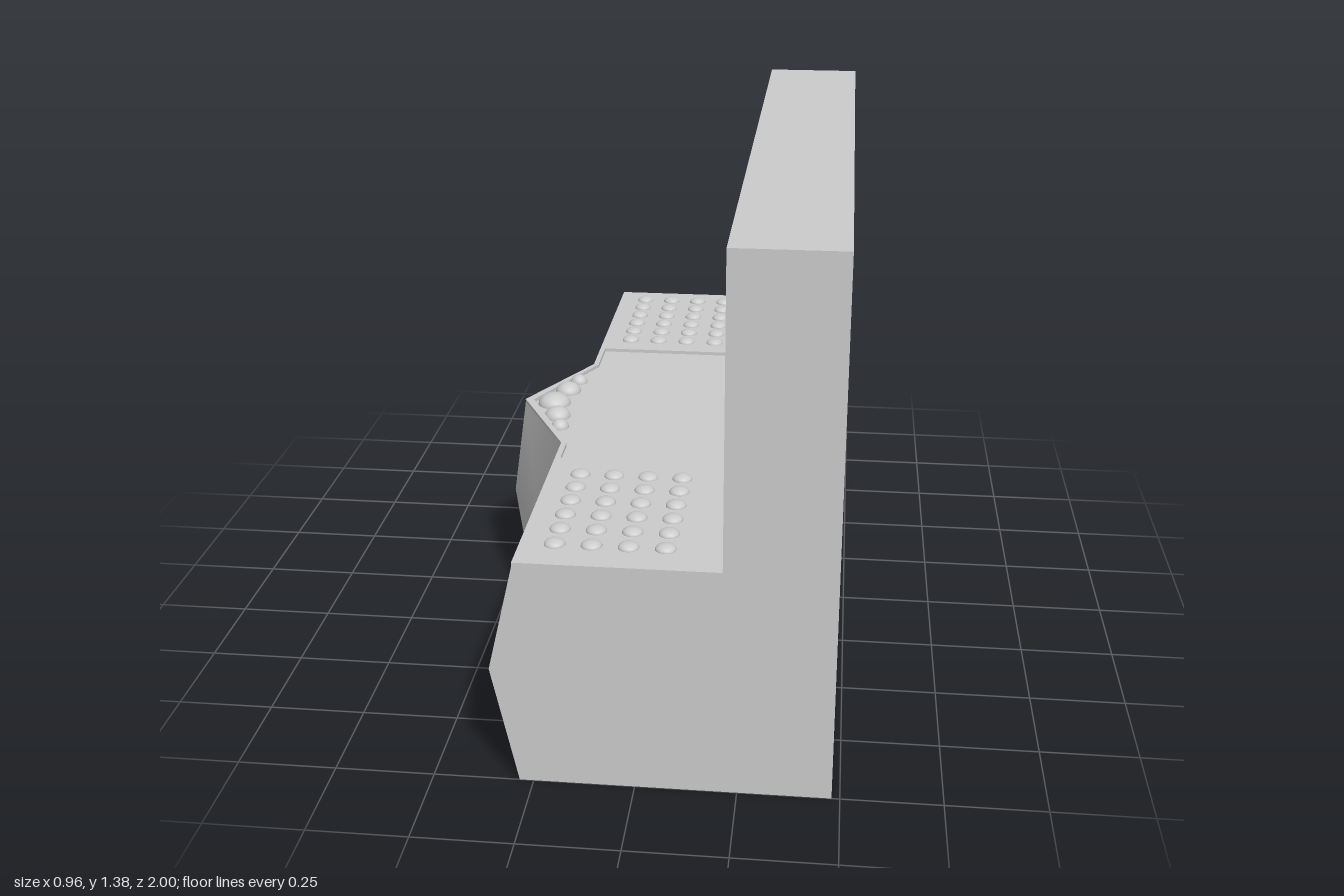
import * as THREE from 'three';
import { toCreasedNormals } from 'three/addons/utils/BufferGeometryUtils.js';

const material = new THREE.MeshStandardMaterial({ color: 0xcccccc });
const DECK = 0.6, LIP = 0.01; // deck height and depth of the sunken centre panel

function outline(points) {
  return new THREE.Shape(points.map(([a, b]) => new THREE.Vector2(a, b)));
}

// Extrudes a plan (x, z) downwards from height top
function extrudePlan(shape, top, depth, steps = 1) {
  return new THREE.ExtrudeGeometry(shape, { depth, steps, bevelEnabled: false })
    .rotateX(Math.PI / 2).translate(0, top, 0);
}

function addMesh(parent, name, geometry) {
  const mesh = new THREE.Mesh(geometry, material);
  mesh.name = name;
  parent.add(mesh);
  return mesh;
}

export function createModel() {
  const model = new THREE.Group();
  model.name = 'controlConsole';

  // Desk plan with the pointed middle of the operator side
  const plan = [[0.48, -1], [0.48, 1], [-0.285, 1], [-0.285, 0.3],
    [-0.44, 0], [-0.285, -0.3], [-0.285, -1]];

  // Desk body: the middle layer bulges outwards along the operator side
  const baseTop = DECK - LIP;
  const body = extrudePlan(outline(plan), baseTop, baseTop, 2);
  const p = body.attributes.position;
  for (let i = 0; i < p.count; i++) {
    const middle = Math.abs(p.getY(i) - baseTop / 2) < 0.01;
    if (!middle) continue;
    p.setY(i, 0.31);
    if (p.getX(i) < 0) p.setX(i, p.getX(i) - (p.getX(i) < -0.4 ? 0.04 : 0.065));
  }
  addMesh(model, 'deskBody', toCreasedNormals(body, 0.52));

  // Deck plate with an opening that forms the sunken centre panel
  const deck = outline(plan);
  deck.holes.push(outline([[0.12, -0.44], [0.12, 0.4], [-0.27, 0.4], [-0.27, 0.3],
    [-0.415, 0], [-0.27, -0.3], [-0.27, -0.44]]));
  addMesh(model, 'deckPlate', extrudePlan(deck, DECK, LIP));

  // Upright screen housing
  const top = 1.38, face = 0.21, recess = 0.025;
  const height = top - DECK;
  const housing = new THREE.BoxGeometry(0.48 - face - recess, height, 2);
  housing.translate((0.48 + face + recess) / 2, DECK + height / 2, 0);
  addMesh(model, 'screenHousing', housing);

  // Thin frame around the recessed screen
  const frame = outline([[-1, DECK], [1, DECK], [1, top], [-1, top]]);
  frame.holes.push(outline([[-0.975, 0.635], [0.975, 0.635], [0.975, 1.345], [-0.975, 1.345]]));
  const frameGeometry = new THREE.ExtrudeGeometry(frame, { depth: recess, bevelEnabled: false });
  frameGeometry.rotateY(-Math.PI / 2).translate(face + recess, 0, 0);
  addMesh(model, 'screenFrame', frameGeometry);

  // Domed buttons
  const dome = new THREE.SphereGeometry(1, 20, 8, 0, Math.PI * 2, 0, Math.PI / 2);
  const addButton = (parent, name, x, y, z, radius, rise) => {
    const button = addMesh(parent, name, dome);
    button.position.set(x, y, z);
    button.scale.set(radius, rise, radius);
  };

  // Two button fields of four by six
  for (const [name, start] of [['rearButtonField', -0.92], ['frontButtonField', 0.5]]) {
    const field = new THREE.Group();
    field.name = name;
    for (let row = 0; row < 6; row++) {
      for (let column = 0; column < 4; column++) {
        addButton(field, 'button', -0.2 + column * 0.089, DECK, start + row * 0.079, 0.026, 0.014);
      }
    }
    model.add(field);
  }

  // Curved row of larger buttons in the pointed middle
  const centre = new THREE.Group();
  centre.name = 'centreButtons';
  for (const [x, z, radius, rise] of [[-0.355, 0, 0.047, 0.032], [-0.33, 0.095, 0.037, 0.029],
    [-0.31, 0.172, 0.025, 0.024]]) {
    for (const side of z ? [-1, 1] : [1]) {
      addButton(centre, 'centreButton', x, baseTop, z * side, radius, rise);
    }
  }
  model.add(centre);

  return model;
}
